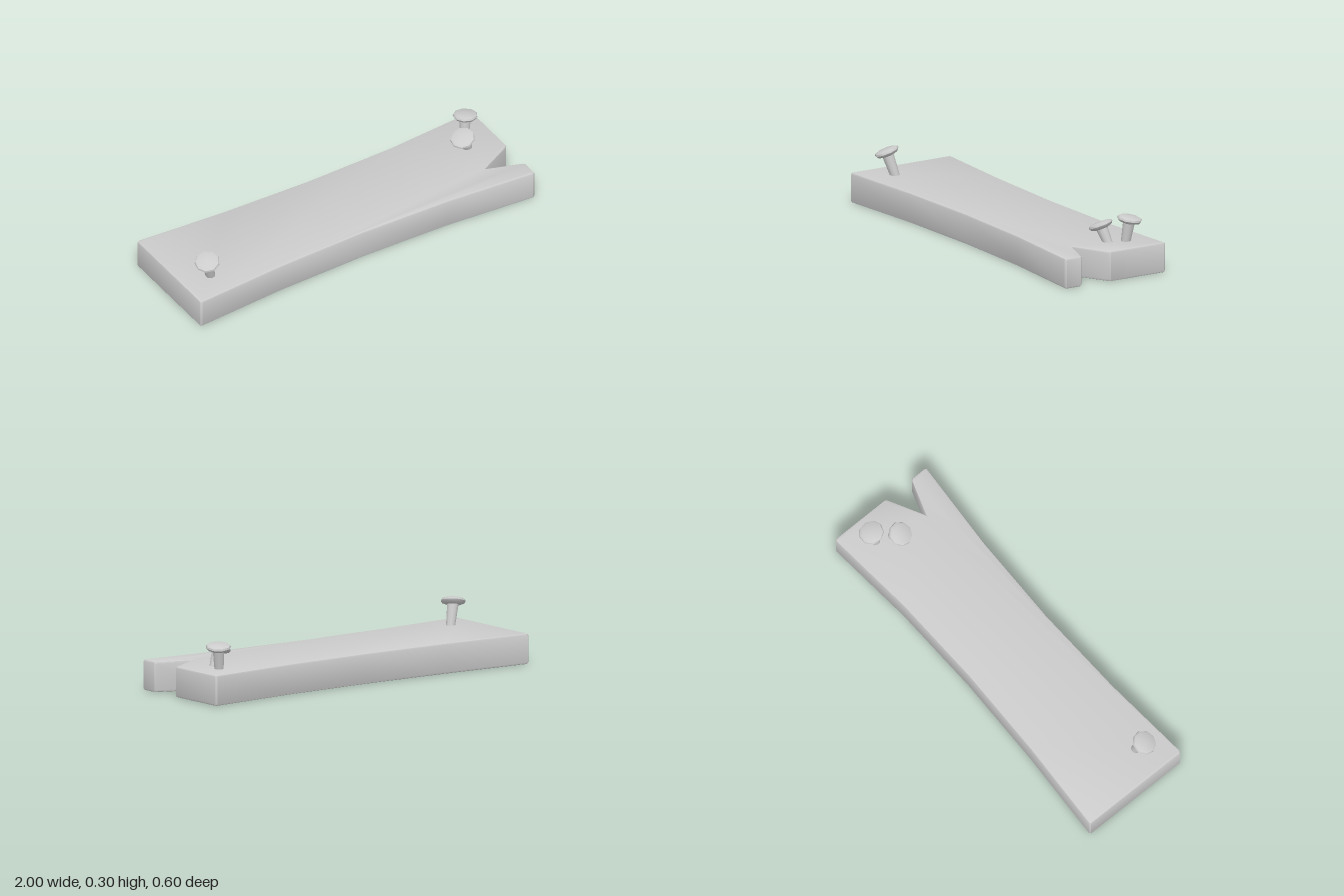
import * as THREE from 'three';
import { toCreasedNormals } from 'three/addons/utils/BufferGeometryUtils.js';

const material = new THREE.MeshStandardMaterial({ color: 0xcccccc });

// Plank with a waisted outline, clipped corners and a split in its +x end
function createPlank() {
  const outline = [ // x, z
    [-0.99, -0.303], [-0.5, -0.272], [0, -0.257], [0.5, -0.266], [0.99, -0.303], [1, -0.295],
    [1, 0.026], [0.99, 0.039], [0.805, 0.135], [0.99, 0.198], [1, 0.208],
    [1, 0.292], [0.99, 0.3], [0.5, 0.263], [0, 0.251], [-0.5, 0.265], [-0.99, 0.3],
    [-1, 0.292], [-1, -0.295],
  ];
  const shape = new THREE.Shape(outline.map(([x, z]) => new THREE.Vector2(x, -z)));
  const height = 0.157, bevel = 0.01;
  const geometry = new THREE.ExtrudeGeometry(shape, {
    depth: height - 2 * bevel,
    bevelThickness: bevel, bevelSize: bevel, bevelOffset: -bevel, bevelSegments: 2,
  });
  geometry.rotateX(-Math.PI / 2).translate(0, bevel, 0);
  const plank = new THREE.Mesh(toCreasedNormals(geometry, 0.5), material);
  plank.name = 'plank';
  return plank;
}

// Nail running from its entry point in the plank to the centre of its head
function createNail(name, base, head, tilt) {
  const nail = new THREE.Group();
  nail.name = name;
  const top = new THREE.Vector3(...head);
  const axis = top.clone().sub(new THREE.Vector3(...base));
  const up = new THREE.Vector3(0, 1, 0);

  // Shaft, sunk a little into the wood and flaring toward the head
  const sunk = 0.04, length = axis.length() + sunk;
  const shaft = new THREE.Mesh(
    new THREE.CylinderGeometry(0.031, 0.022, length, 10).translate(0, -length / 2, 0), material);
  shaft.name = 'nailShaft';
  shaft.position.copy(top);
  shaft.quaternion.setFromUnitVectors(up, axis.normalize());

  // Domed, faceted head
  const profile = [[0, -0.018], [0.034, -0.018], [0.056, -0.011], [0.064, 0], [0.061, 0.009], [0.048, 0.015], [0, 0.017]]
    .map(([r, y]) => new THREE.Vector2(r, y));
  const cap = new THREE.Mesh(toCreasedNormals(new THREE.LatheGeometry(profile, 9), 0.75), material);
  cap.name = 'nailHead';
  cap.position.copy(top);
  cap.quaternion.setFromUnitVectors(up, new THREE.Vector3(tilt[0], 1, tilt[1]).normalize());

  nail.add(shaft, cap);
  return nail;
}

export function createModel() {
  const model = new THREE.Group();
  model.name = 'nailedPlank';
  model.add(
    createPlank(),
    createNail('rightNail', [-0.838, 0.157, 0.136], [-0.873, 0.272, 0.161], [-0.27, 0.3]),
    createNail('leftInnerNail', [0.825, 0.157, -0.064], [0.787, 0.236, -0.049], [-0.35, 0.22]),
    createNail('leftOuterNail', [0.862, 0.157, -0.151], [0.876, 0.27, -0.164], [0.1, -0.14]),
  );
  return model;
}
